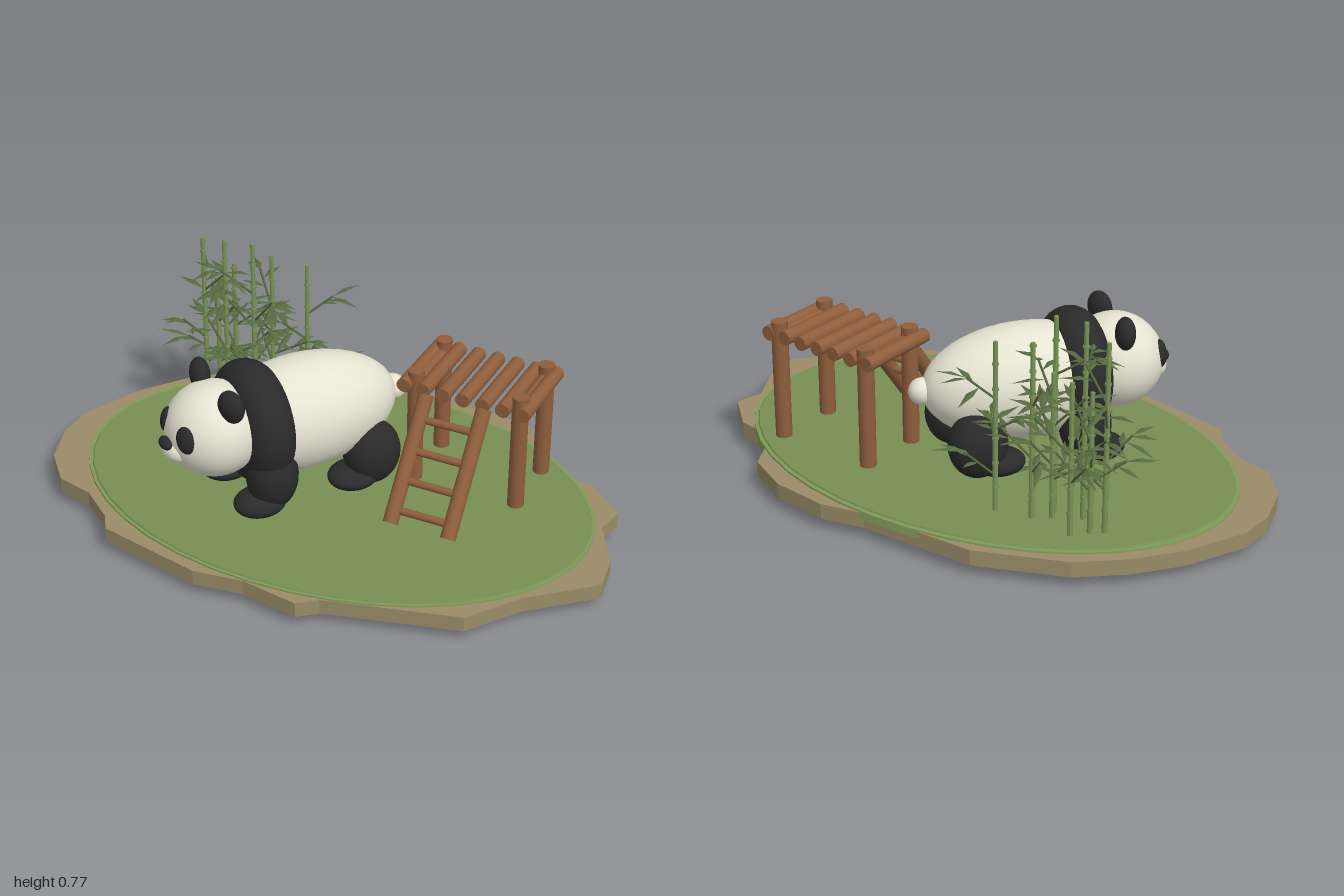
import * as THREE from 'three';
import { mergeGeometries } from 'three/addons/utils/BufferGeometryUtils.js';

const mat = (name, color, extra = {}) => {
  const m = new THREE.MeshStandardMaterial({ color, ...extra });
  m.name = name;
  return m;
};
const V = (x, y, z) => new THREE.Vector3(x, y, z);

export function createModel() {
  const model = new THREE.Group();
  const rock = mat('rock', 0x9a8c68, { flatShading: true });
  const earth = mat('earth', 0x94815f, { flatShading: true });
  const grass = mat('grass', 0x788f54);
  const grassEdge = mat('grass edge', 0x7f9a57);
  const wood = mat('wood', 0x8f5e3c);
  const white = mat('cream fur', 0xe5e3d1);
  const black = mat('black fur', 0x2a2a2b);
  const stalkGreen = mat('bamboo stalk', 0x7a9455);
  const leafGreen = mat('bamboo leaf', 0x566a40, { side: THREE.DoubleSide });

  const add = (parent, name, geo, material, x = 0, y = 0, z = 0) => {
    const m = new THREE.Mesh(geo, material);
    m.name = name;
    m.position.set(x, y, z);
    parent.add(m);
    return m;
  };
  const rodGeo = (a, b, r, sides = 14, r2 = r) => {
    const d = b.clone().sub(a);
    const g = new THREE.CylinderGeometry(r2, r, d.length(), sides);
    g.applyQuaternion(new THREE.Quaternion().setFromUnitVectors(V(0, 1, 0), d.normalize()));
    const c = a.clone().add(b).multiplyScalar(0.5);
    return g.translate(c.x, c.y, c.z);
  };

  // ---- Ground: ragged rock slab, tapered earth below, two-step grass disc on top
  const ground = new THREE.Group();
  ground.name = 'ground';
  model.add(ground);
  const outline = [
    [-1, 0], [-1, .13], [-.95, .28], [-.85, .39], [-.72, .42], [-.6, .51], [-.56, .57], [-.19, .645],
    [-.02, .62], [.18, .65], [.24, .6], [.68, .48], [.8, .31], [1, .13], [.98, 0], [.89, -.16],
    [.91, -.26], [.78, -.37], [.645, -.39], [.59, -.465], [.54, -.56], [.38, -.635], [.18, -.655],
    [.03, -.62], [-.38, -.605], [-.67, -.48], [-.8, -.36], [-.91, -.21],
  ];
  const shape = new THREE.Shape(outline.map(([x, z]) => new THREE.Vector2(x, -z)));
  const slab = (depth) => new THREE.ExtrudeGeometry(shape, { depth, bevelEnabled: false }).rotateX(-Math.PI / 2);
  add(ground, 'rockRim', slab(0.053), rock, 0, 0.037, 0);
  const base = slab(0.037);
  const p = base.attributes.position;
  for (let i = 0; i < p.count; i++) {
    if (p.getY(i) < 0.01) p.setXYZ(i, p.getX(i) * 0.9, 0, p.getZ(i) * 0.9);
  }
  base.computeVertexNormals();
  add(ground, 'earthBase', base, earth);
  const disc = (top, bottom, h, depth) => new THREE.CylinderGeometry(top, bottom, h, 40).scale(1, 1, depth);
  add(ground, 'grassEdge', disc(.9, .905, .026, .69), grassEdge, -.003, .083, -.003);
  add(ground, 'grassTop', disc(.885, .89, .006, .685), grass, 0, .098, 0);

  // ---- Panda, built facing +z and then turned
  const panda = new THREE.Group();
  panda.name = 'panda';
  panda.position.set(-0.12, 0, 0.02);
  panda.rotation.y = -0.611;
  model.add(panda);
  const ball = (parent, name, material, pos, size, rot = [0, 0, 0]) => {
    const m = add(parent, name, new THREE.SphereGeometry(1, 32, 22), material, ...pos);
    m.scale.set(...size);
    m.rotation.set(...rot);
    return m;
  };
  ball(panda, 'body', white, [0, .362, .005], [.19, .193, .348]);
  ball(panda, 'tail', white, [.012, .362, -.34], [.045, .045, .045]);
  const band = add(panda, 'shoulderBand', new THREE.TorusGeometry(.135, .076, 20, 40), black, 0, .374, .18);
  band.scale.z = 1.08;

  const head = new THREE.Group();
  head.name = 'head';
  head.position.set(0, .392, .322);
  panda.add(head);
  ball(head, 'skull', white, [0, 0, 0], [.166, .158, .163]);
  ball(head, 'muzzle', white, [0, -.038, .13], [.062, .046, .052]);
  ball(head, 'nose', black, [0, -.008, .172], [.033, .021, .02]);
  for (const s of [-1, 1]) {
    ball(head, 'eyePatch', black, [s * .074, .03, .132], [.036, .047, .022], [-.15, s * .5, s * .3]);
    ball(head, 'ear', black, [s * .117, .138, -.01], [.054, .056, .034], [0, s * .25, -s * .3]);
    // Legs and feet
    ball(panda, 'frontLeg', black, [s * .125, .235, .175], [.083, .125, .088]);
    ball(panda, 'frontFoot', black, [s * .125, .143, .222], [.078, .043, .09]);
    ball(panda, 'rearLeg', black, [s * .13, .215, -.195], [.086, .115, .1]);
    ball(panda, 'rearFoot', black, [s * .13, .143, -.125], [.078, .043, .09]);
  }

  // ---- Wooden climbing platform with ladder
  const platform = new THREE.Group();
  platform.name = 'climbingPlatform';
  model.add(platform);
  const rod = (name, a, b, r) => add(platform, name, rodGeo(a, b, r), wood);
  for (const x of [.22, .59]) {
    for (const z of [-.37, -.145]) rod('post', V(x, .09, z), V(x, .52, z), .028);
    rod('sideBeam', V(x, .472, -.37), V(x, .472, -.145), .022);
  }
  for (let i = 0; i < 7; i++) {
    const x = .195 + i * .07;
    rod('deckLog', V(x, .478, -.4), V(x, .478, -.098), .025);
  }
  for (const x of [.27, .475]) rod('ladderRail', V(x, .107, .148), V(x, .455, -.115), .026);
  for (const y of [.145, .225, .305, .39]) {
    const z = .148 - (y - .107) * .756;
    rod('ladderRung', V(.27, y, z), V(.475, y, z), .013);
  }

  // ---- Bamboo grove: jointed stalks, thin branches and folded leaves
  const bamboo = new THREE.Group();
  bamboo.name = 'bamboo';
  model.add(bamboo);
  let seed = 11;
  const rnd = (a, b) => {
    seed = (seed * 16807) % 2147483647;
    return a + (b - a) * seed / 2147483647;
  };
  // Pointed leaf along direction d, slightly folded on its midrib
  const leafGeo = (o, d, len, w) => {
    const side = V(d.z, 0, -d.x).normalize().multiplyScalar(w);
    const mid = o.clone().addScaledVector(d, len * .45);
    const tip = o.clone().addScaledVector(d, len);
    const l = mid.clone().add(side), r = mid.clone().sub(side);
    mid.y += w * .4;
    tip.y -= len * .1;
    const g = new THREE.BufferGeometry().setFromPoints([o, mid, l, l, mid, tip, o, r, mid, r, tip, mid]);
    g.computeVertexNormals();
    return g;
  };
  const stalks = [], branches = [], leaves = [];
  const spots = [
    [-.655, -.28, .74], [-.553, -.25, .77], [-.452, -.265, .77], [-.42, -.34, .7],
    [-.297, -.365, .68], [-.62, -.31, .58], [-.58, -.36, .62], [-.47, -.3, .6],
  ];
  spots.forEach(([x, z, top], n) => {
    stalks.push(rodGeo(V(x, .09, z), V(x, top, z), .0095, 8, .0075));
    for (let y = .18; y < top; y += .085) {
      stalks.push(new THREE.CylinderGeometry(.011, .011, .007, 8).translate(x, y, z));
    }
    for (let b = 0; b < 4; b++) {
      const ang = n * 1.3 + b * 2.1 + rnd(-.4, .4);
      const start = V(x, .2 + (top - .36) * (b + rnd(.2, .8)) / 4, z);
      const out = V(Math.cos(ang), rnd(.6, 1.1), Math.sin(ang) * .65);
      const end = start.clone().addScaledVector(out, rnd(.09, .14));
      branches.push(rodGeo(start, end, .004, 5));
      for (let k = 0; k < 4; k++) {
        const a = ang + (k - 1.5) * .6 + rnd(-.25, .25);
        const d = V(Math.cos(a), rnd(-.3, .4), Math.sin(a) * .8).normalize();
        leaves.push(leafGeo(start.clone().lerp(end, [.55, 1, .95, .75][k]), d, rnd(.08, .12), rnd(.011, .015)));
      }
    }
  });
  add(bamboo, 'bambooStalks', mergeGeometries(stalks), stalkGreen);
  add(bamboo, 'bambooBranches', mergeGeometries(branches), leafGreen);
  add(bamboo, 'bambooLeaves', mergeGeometries(leaves), leafGreen);

  return model;
}
